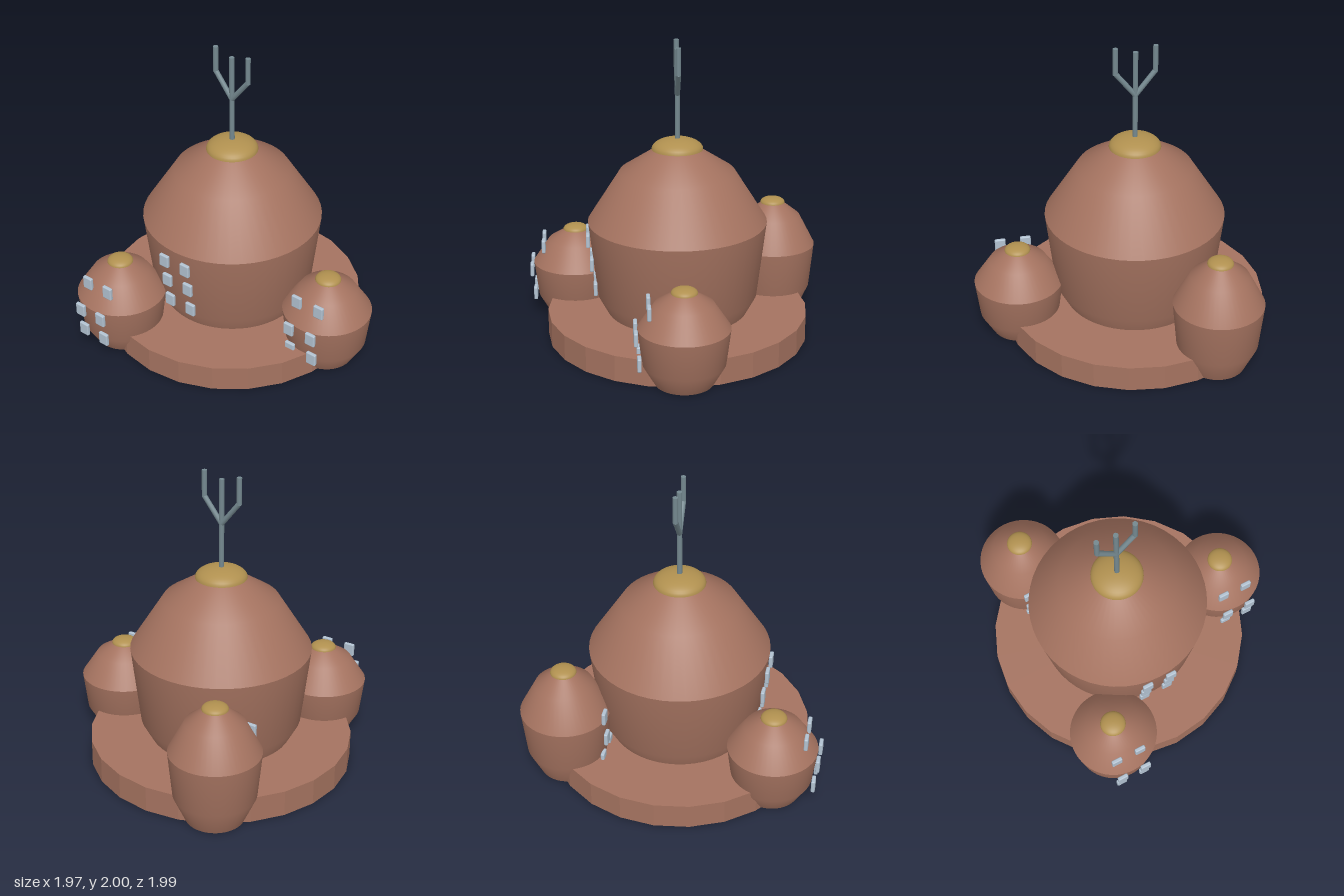
import * as THREE from 'three';
import { RoundedBoxGeometry } from 'three/addons/geometries/RoundedBoxGeometry.js';

const mat = (name, color) => Object.assign(new THREE.MeshStandardMaterial({ color }), { name });

export function createModel() {
  const clay = mat('clay', 0xa57360);
  const gold = mat('gold', 0xb0904f);
  const glass = mat('pale glass', 0xb2c2d1);
  const steel = mat('steel', 0x74888f);
  const model = new THREE.Group();
  model.name = 'domedBuilding';

  const add = (parent, name, geometry, material, x = 0, y = 0, z = 0) => {
    const mesh = new THREE.Mesh(geometry, material);
    mesh.name = name;
    mesh.position.set(x, y, z);
    parent.add(mesh);
    return mesh;
  };
  const lathe = (pts) => new THREE.LatheGeometry(pts.map(([r, y]) => new THREE.Vector2(r, y)), 48);

  // Round tower: tapered wall, faceted dome, flattened cap
  const tower = (name, x, z, r, waist, top, capR, capH) => {
    const group = new THREE.Group();
    group.name = name;
    group.position.set(x, 0, z);
    model.add(group);
    const rise = top - waist;
    add(group, 'floor', lathe([[0, 0], [r * 0.64, 0]]), clay);
    add(group, 'wall', lathe([[r * 0.64, 0], [r * 0.9, waist * 0.36], [r, waist]]), clay);
    add(group, 'dome', lathe([[r, waist], [r * 0.64, waist + rise * 0.69], [r * 0.25, top]]), clay);
    const arc = [];
    for (let i = 0; i <= 10; i++) {
      const a = (i / 10) * Math.PI / 2;
      arc.push([i === 10 ? 0 : capR * Math.cos(a), capH * Math.sin(a)]);
    }
    add(group, 'cap', lathe(arc), gold, 0, top, 0);
    add(group, 'capUnderside', lathe([[0, 0], [capR, 0]]), gold, 0, top, 0);
    return group;
  };

  // Pairs of windows on the front; rows are [y, z]
  const windows = (group, rows) => {
    for (const [y, z] of rows) {
      for (const x of [-0.086, 0.086]) {
        add(group, 'window', new RoundedBoxGeometry(0.073, 0.09, 0.026, 2, 0.008), glass, x, y, z);
      }
    }
  };

  // Low 24-sided base
  const base = new THREE.CylinderGeometry(0.878, 0.878, 0.175, 24).toNonIndexed();
  base.computeVertexNormals();
  add(model, 'base', base, clay, -0.108, 0.0875, -0.01);

  const main = tower('mainTower', -0.108, -0.01, 0.597, 0.805, 1.298, 0.17, 0.074);
  windows(main, [[0.7, 0.598], [0.53, 0.575], [0.355, 0.553]]);

  const smallRows = [[0.515, 0.222], [0.345, 0.305], [0.172, 0.285]];
  windows(tower('frontTower', -0.505, 0.678, 0.295, 0.375, 0.607, 0.085, 0.038), smallRows);
  windows(tower('leftTower', 0.685, -0.01, 0.295, 0.375, 0.607, 0.085, 0.038), smallRows);
  windows(tower('backTower', -0.505, -0.697, 0.297, 0.48, 0.777, 0.085, 0.038),
    [[0.515, 0.285], [0.345, 0.295], [0.172, 0.268]]);

  // Forked antenna
  const antenna = new THREE.Group();
  antenna.name = 'antenna';
  antenna.position.set(-0.108, 0, -0.01);
  model.add(antenna);
  const rod = (name, x0, y0, x1, y1) => {
    const dx = x1 - x0, dy = y1 - y0;
    const m = add(antenna, name, new THREE.CylinderGeometry(0.017, 0.017, Math.hypot(dx, dy), 12),
      steel, (x0 + x1) / 2, (y0 + y1) / 2, 0);
    m.rotation.z = -Math.atan2(dx, dy);
  };
  rod('mast', 0, 1.3, 0, 1.965);
  for (const s of [-1, 1]) {
    rod('arm', 0, 1.665, s * 0.129, 1.827);
    rod('prong', s * 0.129, 1.82, s * 0.129, 2);
  }
  return model;
}
